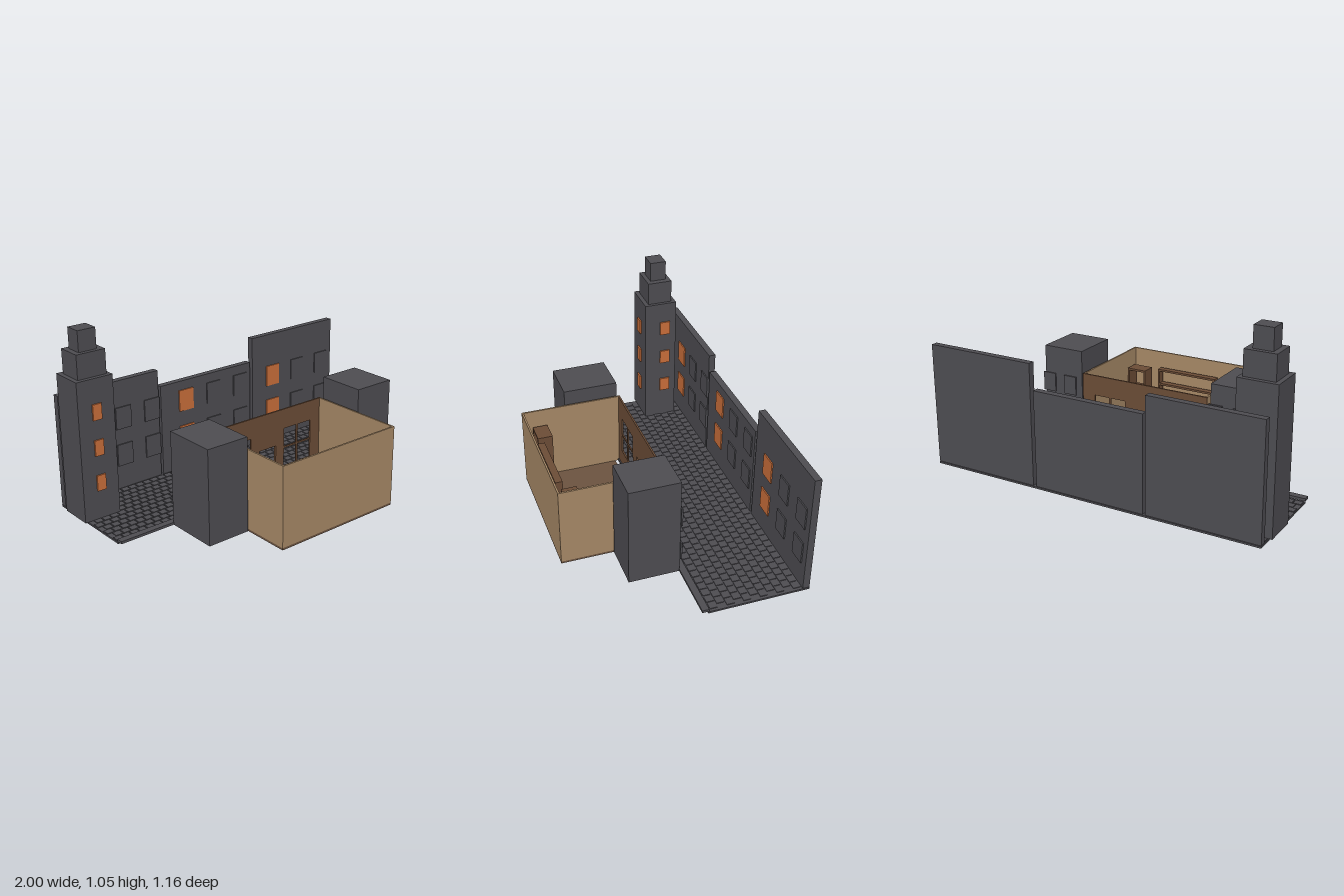
import * as THREE from 'three';
import { mergeGeometries } from 'three/addons/utils/BufferGeometryUtils.js';

const mat = (name, color) => {
  const m = new THREE.MeshStandardMaterial({ color });
  m.name = name;
  return m;
};

export function createModel() {
  const root = new THREE.Group();
  root.name = 'streetScene';
  const stone = mat('slateGrey', 0x4d4c51);
  const glow = mat('litOrange', 0xc96e3a);
  const plaster = mat('tanPlaster', 0xa68866);
  const wood = mat('darkWood', 0x6b4c36);
  const floorWood = mat('floorBrown', 0x6b5340);

  // Box given by its limits on each axis
  const boxGeo = (x0, x1, y0, y1, z0, z1) => new THREE.BoxGeometry(x1 - x0, y1 - y0, z1 - z0)
    .translate((x0 + x1) / 2, (y0 + y1) / 2, (z0 + z1) / 2);
  const box = (parent, name, material, ...limits) => {
    const mesh = new THREE.Mesh(boxGeo(...limits), material);
    mesh.name = name;
    parent.add(mesh);
    return mesh;
  };
  const group = (name) => {
    const g = new THREE.Group();
    g.name = name;
    root.add(g);
    return g;
  };

  // Street slab, kerb and staggered cobbles
  const street = group('street');
  box(street, 'streetSlab', stone, -0.98, 0.995, 0, 0.01, -0.58, -0.02);
  box(street, 'kerb', stone, -0.98, 0.995, 0.013, 0.027, -0.025, 0.013);
  const stones = [];
  const pitch = 0.046;
  for (let row = 0; row < 11; row++) {
    const z = -0.535 + row * pitch;
    const shift = (row % 2) * 0.024;
    for (let x = -0.975 + shift; x + 0.044 < 0.995; x += 0.049) {
      stones.push(boxGeo(x, x + 0.043, 0.009, 0.014, z, z + 0.04));
    }
  }
  const cobbles = new THREE.Mesh(mergeGeometries(stones), stone);
  cobbles.name = 'cobbles';
  street.add(cobbles);

  // Row of facades across the street: limits, height, first window, window spacing
  const facades = [
    [-0.98, -0.345, 0.655, -0.775, 0.19],
    [-0.33, 0.325, 0.555, -0.155, 0.2],
    [0.345, 0.995, 0.7, 0.505, 0.2],
  ];
  for (const [x0, x1, top, first, step] of facades) {
    const facade = group('facade');
    box(facade, 'facadeWall', stone, x0, x1, 0.013, top, -0.578, -0.54);
    for (let col = 0; col < 3; col++) {
      const x = first + col * step;
      for (const y of [0.152, 0.372]) {
        box(facade, 'facadeWindow', col === 0 ? glow : stone,
          x - 0.05, x + 0.05, y, y + 0.128, -0.541, -0.533);
      }
    }
  }

  // Stepped tower with lit windows on two sides
  const tower = group('tower');
  box(tower, 'towerBase', stone, -1, -0.785, 0.013, 0.8, -0.495, -0.3);
  box(tower, 'towerMiddle', stone, -0.975, -0.805, 0.8, 0.935, -0.47, -0.325);
  box(tower, 'towerTop', stone, -0.945, -0.84, 0.935, 1.05, -0.445, -0.35);
  for (let i = 0; i < 3; i++) {
    const y = 0.177 + i * 0.199;
    box(tower, 'towerFrontWindow', glow, -0.918, -0.865, y, y + 0.088, -0.3, -0.291);
    box(tower, 'towerSideWindow', glow, -0.785, -0.776, y + 0.018, y + 0.102, -0.456, -0.394);
  }

  // Neighbouring houses with windows on their street side
  for (const [x0, x1, top, z1, windows] of [
    [-0.655, -0.405, 0.545, 0.322, [-0.58, -0.435]],
    [0.415, 0.665, 0.59, 0.29, [0.495, 0.635]],
  ]) {
    const house = group('neighbourHouse');
    box(house, 'houseBody', stone, x0, x1, 0.013, top, 0.01, z1);
    for (const x of windows) {
      for (const y of [0.1, 0.32]) {
        box(house, 'houseWindow', stone, x - 0.04, x + 0.04, y, y + 0.11, 0.002, 0.011);
      }
    }
  }

  // Open-topped shop: floor and three plaster walls
  const shop = group('shop');
  box(shop, 'shopFloor', floorWood, -0.39, 0.4, 0.003, 0.015, 0.03, 0.578);
  box(shop, 'rearWall', plaster, -0.39, 0.4, 0.015, 0.467, 0.568, 0.578);
  box(shop, 'sideWall', plaster, -0.39, -0.38, 0.015, 0.467, 0.005, 0.568);
  box(shop, 'sideWall', plaster, 0.39, 0.4, 0.015, 0.467, 0.005, 0.568);

  // Shopfront panel with doorway and two window openings
  const rect = (Kind, x0, x1, y0, y1) => {
    const s = new Kind();
    s.moveTo(x0, y0);
    s.lineTo(x1, y0);
    s.lineTo(x1, y1);
    s.lineTo(x0, y1);
    s.closePath();
    return s;
  };
  const panel = rect(THREE.Shape, -0.39, 0.4, 0.015, 0.467);
  panel.holes.push(rect(THREE.Path, -0.06, 0.06, 0.02, 0.26));
  for (const x of [-0.32, 0.12]) panel.holes.push(rect(THREE.Path, x, x + 0.2, 0.12, 0.35));
  const front = new THREE.Mesh(
    new THREE.ExtrudeGeometry(panel, { depth: 0.01, bevelEnabled: false }).translate(0, 0, -0.004), wood);
  front.name = 'shopfront';
  shop.add(front);
  for (const side of [-1, 1]) {
    const x = side * 0.22;
    box(shop, 'windowBar', wood, x - 0.006, x + 0.006, 0.12, 0.35, -0.003, 0.005);
    box(shop, 'windowRail', wood, x - 0.1, x + 0.1, 0.23, 0.24, -0.003, 0.005);
    box(shop, 'doorPost', wood, side * 0.065 - 0.006, side * 0.065 + 0.006, 0.02, 0.26, -0.008, 0.005);
    box(shop, 'lantern', glow, side * 0.388 - 0.008, side * 0.388 + 0.008, 0.275, 0.294, -0.014, -0.003);
  }
  box(shop, 'signBoard', glow, -0.1, 0.1, 0.275, 0.294, -0.014, -0.003);
  box(shop, 'doorStep', wood, -0.08, 0.08, 0.013, 0.02, -0.008, 0.024);

  // Open shelving units along the rear wall
  const shelves = (x0, x1, z0, z1, top, levels) => {
    const unit = group('shelfUnit');
    const t = 0.012;
    box(unit, 'shelfSide', wood, x0, x0 + t, 0.015, top, z0, z1);
    box(unit, 'shelfSide', wood, x1 - t, x1, 0.015, top, z0, z1);
    for (let i = 0; i <= levels; i++) {
      const y = 0.03 + (top - 0.03) * i / levels;
      box(unit, 'shelfBoard', wood, x0 + t, x1 - t, y - t, y, z0, z1);
    }
  };
  shelves(-0.36, -0.24, 0.44, 0.525, 0.375, 3);
  shelves(0.25, 0.37, 0.44, 0.525, 0.375, 3);
  shelves(-0.185, 0.195, 0.5, 0.54, 0.38, 4);

  // Small table
  const table = group('table');
  box(table, 'tableTop', wood, 0.165, 0.305, 0.13, 0.145, 0.155, 0.235);
  for (const x of [0.17, 0.288]) {
    for (const z of [0.16, 0.218]) {
      box(table, 'tableLeg', wood, x, x + 0.012, 0.015, 0.13, z, z + 0.012);
    }
  }
  return root;
}
